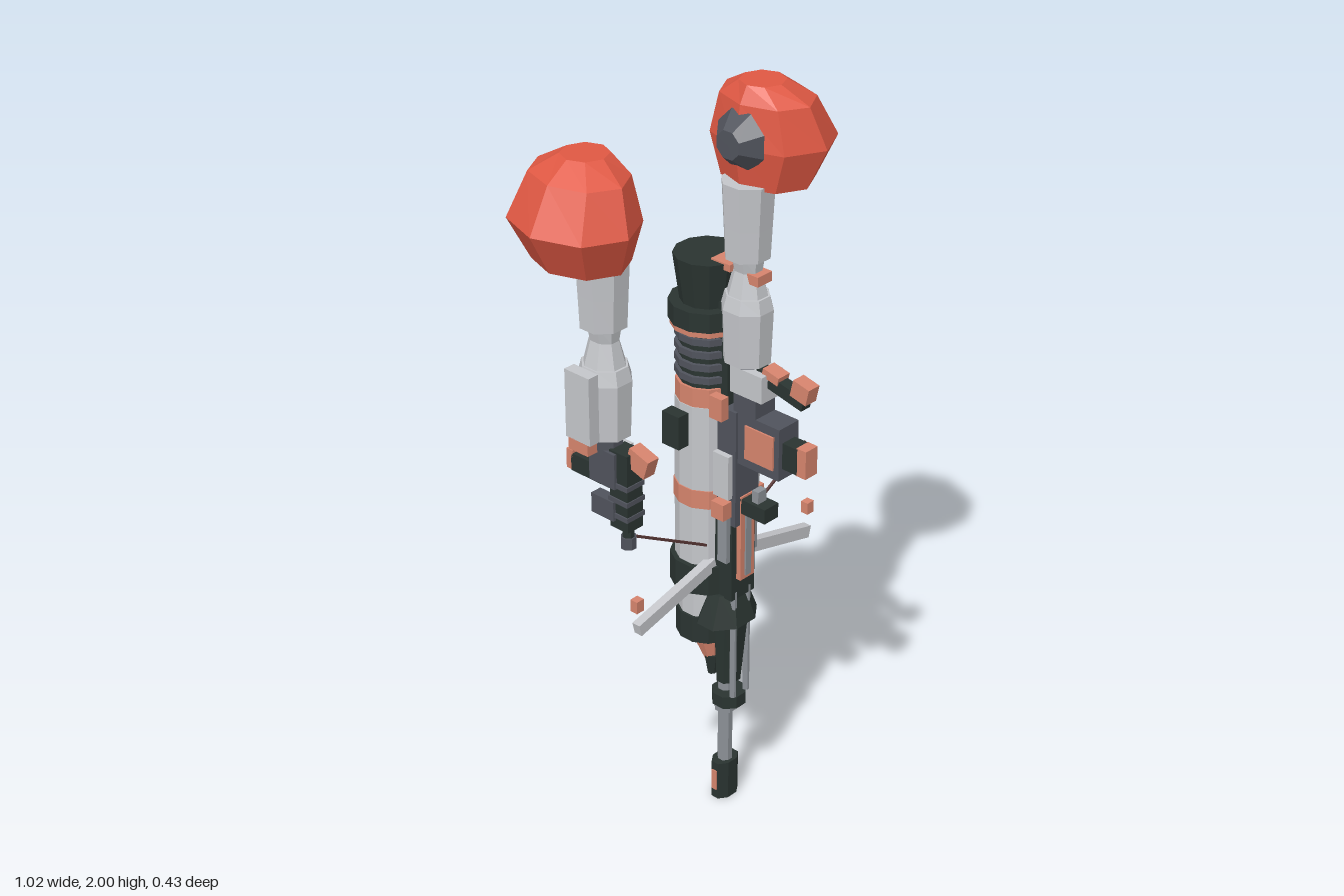
import * as THREE from 'three';

const mat = (name, color) => {
  const m = new THREE.MeshStandardMaterial({ color });
  m.name = name;
  return m;
};

export function createModel() {
  const red = mat('shoulder red', 0xdf5843), light = mat('light grey', 0xc4c6ca);
  const dark = mat('black green', 0x2a3431), slate = mat('slate grey', 0x50535c);
  const copper = mat('copper', 0xd6846d), steel = mat('steel', 0x8d9298), wireMat = mat('wire brown', 0x5c3a38);
  const model = new THREE.Group();

  const add = (parent, name, geo, material) => {
    const g = geo.index ? geo.toNonIndexed() : geo;
    g.computeVertexNormals(); // faceted look
    const mesh = new THREE.Mesh(g, material);
    mesh.name = name;
    parent.add(mesh);
    return mesh;
  };
  const box = (parent, name, m, x, y, z, w, h, d, rx = 0, rz = 0) => {
    const mesh = add(parent, name, new THREE.BoxGeometry(w, h, d), m);
    mesh.position.set(x, y, z);
    mesh.rotation.set(rx, 0, rz);
    return mesh;
  };
  // Closed body through elliptical rings [y, cx, cz, rx, rz], listed upwards
  const loft = (parent, name, m, rings, n = 8, turn = Math.PI / 8) => {
    const p = [];
    const pt = ([y, cx, cz, rx, rz], i) => {
      const a = turn + (i / n) * Math.PI * 2;
      return [cx + rx * Math.cos(a), y, cz + rz * Math.sin(a)];
    };
    const mid = ([y, cx, cz]) => [cx, y, cz];
    const last = rings[rings.length - 1];
    for (let i = 0; i < n; i++) {
      for (let k = 0; k < rings.length - 1; k++) {
        const a = pt(rings[k], i), b = pt(rings[k + 1], i), c = pt(rings[k + 1], i + 1), d = pt(rings[k], i + 1);
        p.push(...a, ...b, ...c, ...a, ...c, ...d);
      }
      p.push(...mid(rings[0]), ...pt(rings[0], i), ...pt(rings[0], i + 1));
      p.push(...mid(last), ...pt(last, i + 1), ...pt(last, i));
    }
    const g = new THREE.BufferGeometry();
    g.setAttribute('position', new THREE.Float32BufferAttribute(p, 3));
    return add(parent, name, g, m);
  };
  const tube = (parent, name, m, x, z, y0, y1, r0, r1 = r0, n = 8) =>
    loft(parent, name, m, [[y0, x, z, r0, r0], [y1, x, z, r1, r1]], n, Math.PI / n);

  // Arm hanging straight down; s points outwards
  const arm = (name, x, s) => {
    const g = new THREE.Group();
    g.name = name;
    g.position.x = x;
    model.add(g);
    loft(g, 'shoulderShell', red, [
      [1.76, s * 0.065, 0.005, 0.098, 0.118], [1.86, s * 0.083, 0.005, 0.132, 0.16],
      [1.96, s * 0.063, 0.003, 0.095, 0.125], [2.0, s * 0.045, 0.003, 0.055, 0.055]], 8, 0);
    const disc = tube(g, 'shoulderDisc', slate, 0, 0, 0, 0.045, 0.075, 0.036);
    disc.rotation.z = s * Math.PI / 2;
    disc.position.set(-s * 0.027, 1.875, 0.003);
    loft(g, 'upperArm', light, [[1.58, 0, 0.003, 0.057, 0.056], [1.66, 0, 0.003, 0.06, 0.06], [1.77, 0, 0.003, 0.065, 0.066]]);
    loft(g, 'elbow', light, [[1.47, 0, 0.004, 0.052, 0.056], [1.545, 0, 0.004, 0.032, 0.037], [1.59, 0, 0.004, 0.042, 0.044]]);
    loft(g, 'forearm', light, [[1.31, 0, 0.004, 0.056, 0.062], [1.45, 0, 0.004, 0.062, 0.067], [1.485, 0, 0.004, 0.052, 0.058]]);
    tube(g, 'wrist', slate, 0, 0.005, 1.27, 1.31, 0.04);
    return g;
  };
  const right = arm('rightArm', -0.295, -1);
  const left = arm('leftArm', 0.18, 1);

  // Right forearm plate and sidearm
  box(right, 'forearmPlate', light, -0.075, 1.405, 0.005, 0.03, 0.17, 0.075);
  box(right, 'plateEnd', copper, -0.075, 1.306, 0.005, 0.03, 0.03, 0.06);
  box(right, 'fist', slate, 0, 1.235, 0.02, 0.065, 0.09, 0.08);
  box(right, 'thumb', light, 0.03, 1.25, 0.03, 0.02, 0.06, 0.04);
  box(right, 'pistolBody', dark, 0, 1.185, 0.065, 0.05, 0.2, 0.055);
  box(right, 'pistolGrip', dark, -0.008, 1.21, -0.02, 0.045, 0.045, 0.12);
  box(right, 'pistolGripCap', copper, -0.008, 1.215, -0.085, 0.045, 0.05, 0.02);
  box(right, 'pistolCover', copper, 0.005, 1.27, 0.11, 0.035, 0.05, 0.06, 0.3);
  box(right, 'pistolMagazine', slate, -0.018, 1.13, 0.02, 0.03, 0.05, 0.07);
  tube(right, 'pistolBarrel', dark, 0, 0.07, 1.05, 1.1, 0.015);
  tube(right, 'pistolMuzzle', slate, 0, 0.07, 1.03, 1.06, 0.019);
  for (let i = 0; i < 3; i++) box(right, 'pistolRib', slate, 0, 1.12 + i * 0.04, 0.065, 0.058, 0.012, 0.06);

  // Launcher tube, section by section from the top
  const gun = new THREE.Group();
  gun.name = 'launcher';
  gun.position.x = 0.18;
  model.add(gun);
  const tz = -0.121;
  const sections = [
    ['rearFlare', dark, 1.42, 1.55, 0.067, 0.085], ['rearRing', dark, 1.38, 1.43, 0.096],
    ['rearTrim', copper, 1.365, 1.38, 0.092], ['ribbedCore', dark, 1.22, 1.365, 0.072],
    ['upperBand', copper, 1.17, 1.22, 0.079], ['upperTube', light, 0.94, 1.17, 0.081],
    ['middleBand', copper, 0.89, 0.94, 0.084], ['lowerTube', light, 0.72, 0.89, 0.081],
    ['frontRing', dark, 0.645, 0.725, 0.094], ['frontTube', light, 0.565, 0.645, 0.073],
    ['muzzleRing', dark, 0.49, 0.565, 0.079]];
  for (const [name, m, y0, y1, r0, r1 = r0] of sections) tube(gun, name, m, 0, tz, y0, y1, r0, r1, 12);
  for (let i = 0; i < 4; i++) tube(gun, 'coolingRib', slate, 0, tz, 1.235 + i * 0.034, 1.252 + i * 0.034, 0.081, 0.081, 12);
  loft(gun, 'warhead', copper, [[0.4, 0, -0.105, 0.016, 0.016], [0.5, 0, tz, 0.05, 0.05]]);
  tube(gun, 'warheadTip', dark, 0, -0.102, 0.36, 0.42, 0.012, 0.022);
  box(gun, 'rearSight', copper, 0, 1.545, -0.055, 0.06, 0.018, 0.06);
  box(gun, 'sideBox', dark, -0.095, 1.105, -0.14, 0.035, 0.09, 0.055);
  box(gun, 'sideTab', dark, 0.1, 1.135, -0.165, 0.016, 0.05, 0.05);
  box(gun, 'sideTabArm', dark, 0.085, 1.14, -0.15, 0.03, 0.02, 0.02);

  // Receiver and rail between tube and hand
  box(gun, 'receiver', slate, 0, 1.02, -0.02, 0.085, 0.32, 0.06);
  box(gun, 'receiverRail', dark, 0, 1.31, -0.045, 0.06, 0.28, 0.03);
  box(gun, 'lowerFrame', dark, 0, 0.76, -0.03, 0.085, 0.24, 0.06);
  box(gun, 'frontStrip', copper, 0, 0.82, 0.006, 0.05, 0.24, 0.016);
  box(gun, 'frontStripInset', steel, 0, 0.8, 0.014, 0.02, 0.18, 0.008);
  box(gun, 'foregrip', dark, 0, 0.915, 0.045, 0.05, 0.04, 0.09);
  box(gun, 'foregripStem', steel, 0, 0.95, 0.05, 0.03, 0.035, 0.02);
  for (const s of [-1, 1]) {
    box(gun, 'sidePlate', light, s * 0.05, 1.0, -0.025, 0.016, 0.12, 0.05);
    box(gun, 'sideTrim', copper, s * 0.06, 1.19, -0.03, 0.025, 0.06, 0.04);
    box(gun, 'sideClamp', copper, s * 0.06, 0.91, -0.02, 0.03, 0.045, 0.04);
    box(gun, 'sideRail', steel, s * 0.05, 0.82, -0.02, 0.014, 0.13, 0.03);
  }

  // Left hand and the parts reaching forward
  box(left, 'fist', light, 0, 1.265, 0.035, 0.075, 0.07, 0.1);
  box(left, 'fingers', slate, 0, 1.215, 0.03, 0.07, 0.07, 0.07);
  box(left, 'magazineBody', slate, 0, 1.11, 0.07, 0.07, 0.14, 0.14);
  for (const s of [-1, 1]) box(left, 'magazinePanel', copper, s * 0.036, 1.11, 0.08, 0.008, 0.09, 0.09);
  box(left, 'magazineNeck', dark, 0, 1.105, 0.16, 0.045, 0.07, 0.05);
  box(left, 'magazineCap', copper, 0, 1.105, 0.197, 0.042, 0.075, 0.03);
  box(left, 'gripHandle', dark, 0, 1.275, 0.12, 0.032, 0.035, 0.15, 0.22);
  box(left, 'gripCap', copper, 0, 1.29, 0.185, 0.038, 0.045, 0.05, 0.22);
  box(left, 'gripTrim', copper, 0, 1.3, 0.095, 0.04, 0.022, 0.05, 0.22);
  box(left, 'wristTrim', copper, 0, 1.535, 0.04, 0.05, 0.025, 0.035);

  // Long barrel with its shroud
  const bz = -0.056;
  loft(gun, 'shroudCollar', dark, [[0.56, 0, -0.052, 0.09, 0.07], [0.645, 0, -0.05, 0.055, 0.046]]);
  loft(gun, 'barrelShroud', dark, [[0.37, 0, -0.045, 0.036, 0.03], [0.56, 0, -0.04, 0.045, 0.045]]);
  tube(gun, 'barrel', steel, 0, bz, 0.1, 0.4, 0.02);
  tube(gun, 'barrelCollar', steel, 0, bz, 0.27, 0.3, 0.029);
  tube(gun, 'barrelRing', dark, 0, bz + 0.012, 0.3, 0.335, 0.046);
  tube(gun, 'muzzle', dark, 0, bz, 0, 0.112, 0.042).scale.z = 0.7;
  gun.children[gun.children.length - 1].position.z = bz * 0.3;
  for (const s of [-1, 1]) {
    box(gun, 'muzzleSlot', copper, s * 0.039, 0.058, bz, 0.006, 0.06, 0.016);
    tube(gun, 'guideRod', steel, s * 0.025, -0.008, 0.34, 0.66, 0.009);
    // Bipod leg, loose foot block and antenna
    box(gun, 'bipodLeg', light, s * 0.18, 0.697, -0.0625, 0.28, 0.033, 0.024, 0, -s * 0.245);
    box(gun, 'footBlock', copper, s * 0.316, 0.735, -0.061, 0.024, 0.033, 0.022);
    box(gun, 'antenna', wireMat, s * 0.185, 0.855, -0.07, 0.29, 0.006, 0.006, 0, s * 0.51);
  }
  return model;
}
